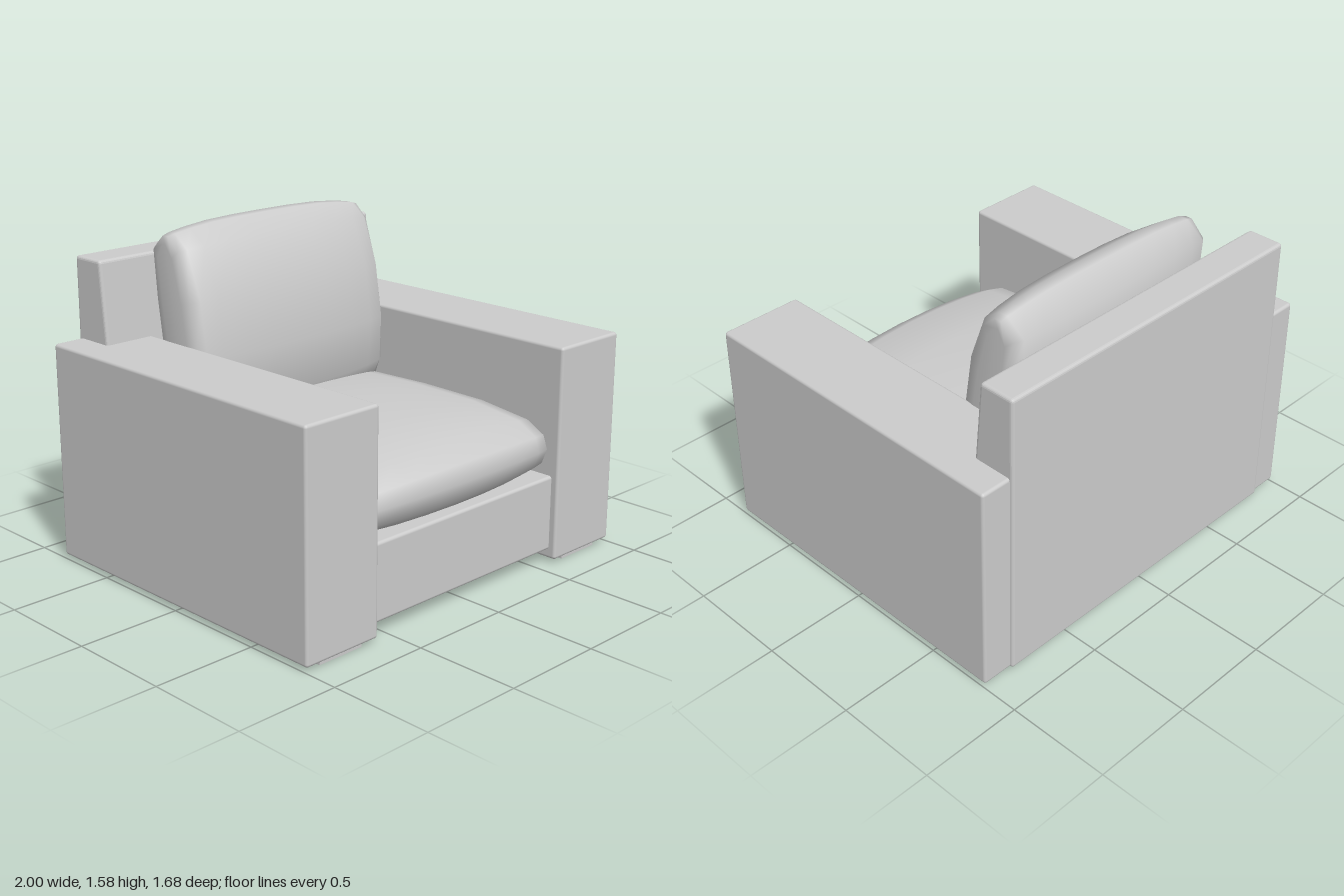
import * as THREE from 'three';
import { RoundedBoxGeometry } from 'three/addons/geometries/RoundedBoxGeometry.js';

const material = new THREE.MeshStandardMaterial({ color: 0xcccccc });

function addMesh(parent, name, geometry) {
  const mesh = new THREE.Mesh(geometry, material);
  mesh.name = name;
  parent.add(mesh);
  return mesh;
}

// Softly bevelled block given by its extents [min, max] on each axis
function block([x0, x1], [y0, y1], [z0, z1], radius = 0.015) {
  const g = new RoundedBoxGeometry(x1 - x0, y1 - y0, z1 - z0, 2, radius);
  return g.translate((x0 + x1) / 2, (y0 + y1) / 2, (z0 + z1) / 2);
}

// Cushion: a side profile of [z, y] points lofted along x. Each half section
// [x, depthScale, heightScale] shrinks it about a (possibly leaning) centre line.
function cushion(profile, half, { y: yc, z: zc, lean }) {
  const centre = (y) => zc + lean * (y - yc);
  const mirrored = half.slice(1).reverse().map(([x, a, b]) => [-x, a, b]);
  const sections = [...mirrored, ...half];
  const n = profile.length;
  const positions = [];
  const index = [];
  for (const [x, depth, height] of sections) {
    for (const [z, y] of profile) {
      const py = yc + (y - yc) * height;
      positions.push(x, py, centre(py) + (z - centre(y)) * depth);
    }
  }
  for (let s = 0; s < sections.length - 1; s++) {
    for (let j = 0; j < n; j++) {
      const k = (j + 1) % n;
      const a = s * n + j, b = a + n, c = (s + 1) * n + k, d = s * n + k;
      index.push(a, b, c, a, c, d);
    }
  }
  // End caps fan out from a centre point
  const last = (sections.length - 1) * n;
  for (const [start, x, flip] of [[0, sections[0][0], false], [last, sections.at(-1)[0], true]]) {
    const hub = positions.length / 3;
    positions.push(x, yc, zc);
    for (let j = 0; j < n; j++) {
      const a = start + j, b = start + (j + 1) % n;
      index.push(hub, flip ? b : a, flip ? a : b);
    }
  }
  const g = new THREE.BufferGeometry();
  g.setAttribute('position', new THREE.Float32BufferAttribute(positions, 3));
  g.setIndex(index);
  g.computeVertexNormals();
  return g;
}

export function createModel() {
  const chair = new THREE.Group();
  chair.name = 'armchair';

  // Arms with a long flat runner below each
  for (const [side, s] of [['left', 1], ['right', -1]]) {
    const arm = block([-0.205, 0.205], [0.02, 1.05], [-0.825, 0.84]);
    addMesh(chair, side + 'Arm', arm).position.x = s * 0.795;
    const runner = new THREE.BoxGeometry(0.24, 0.03, 1.62);
    addMesh(chair, side + 'Runner', runner).position.set(s * 0.79, 0.015, 0.01);
  }

  // Backrest, thicker toward the floor so its front face leans back
  const back = block([-0.85, 0.85], [0.02, 1.435], [-0.84, -0.66]);
  const p = back.attributes.position;
  for (let i = 0; i < p.count; i++) {
    if (p.getZ(i) > -0.75) p.setZ(i, p.getZ(i) + 0.092 * (1.435 - p.getY(i)));
  }
  back.computeVertexNormals();
  addMesh(chair, 'backrest', back);

  // Seat base between the arms
  addMesh(chair, 'seatBase', block([-0.6, 0.6], [0.065, 0.43], [-0.57, 0.805]));

  // Seat cushion
  const seatProfile = [
    [-0.6, 0.43], [0.1, 0.425], [0.73, 0.425], [0.8, 0.48], [0.83, 0.57], [0.805, 0.65],
    [0.7, 0.715], [0.4, 0.755], [0, 0.76], [-0.4, 0.745], [-0.6, 0.69],
  ];
  addMesh(chair, 'seatCushion', cushion(seatProfile,
    [[0, 1, 1], [0.18, 0.995, 0.985], [0.35, 0.98, 0.945], [0.5, 0.955, 0.88], [0.58, 0.93, 0.81], [0.6, 0.88, 0.55]],
    { y: 0.5, z: 0.1, lean: 0 }));

  // Back cushion, leaning on the backrest
  const backProfile = [
    [-0.5, 0.64], [-0.33, 0.64], [-0.25, 0.76], [-0.228, 1.0], [-0.268, 1.27], [-0.365, 1.51],
    [-0.47, 1.577], [-0.53, 1.577], [-0.655, 1.5], [-0.645, 1.25], [-0.62, 1.05], [-0.57, 0.75],
  ];
  addMesh(chair, 'backCushion', cushion(backProfile,
    [[0, 1, 1], [0.18, 0.99, 0.998], [0.34, 0.95, 0.988], [0.47, 0.87, 0.965], [0.56, 0.78, 0.94], [0.595, 0.6, 0.92], [0.605, 0.35, 0.85]],
    { y: 1.05, z: -0.43, lean: -0.19 }));

  return chair;
}
